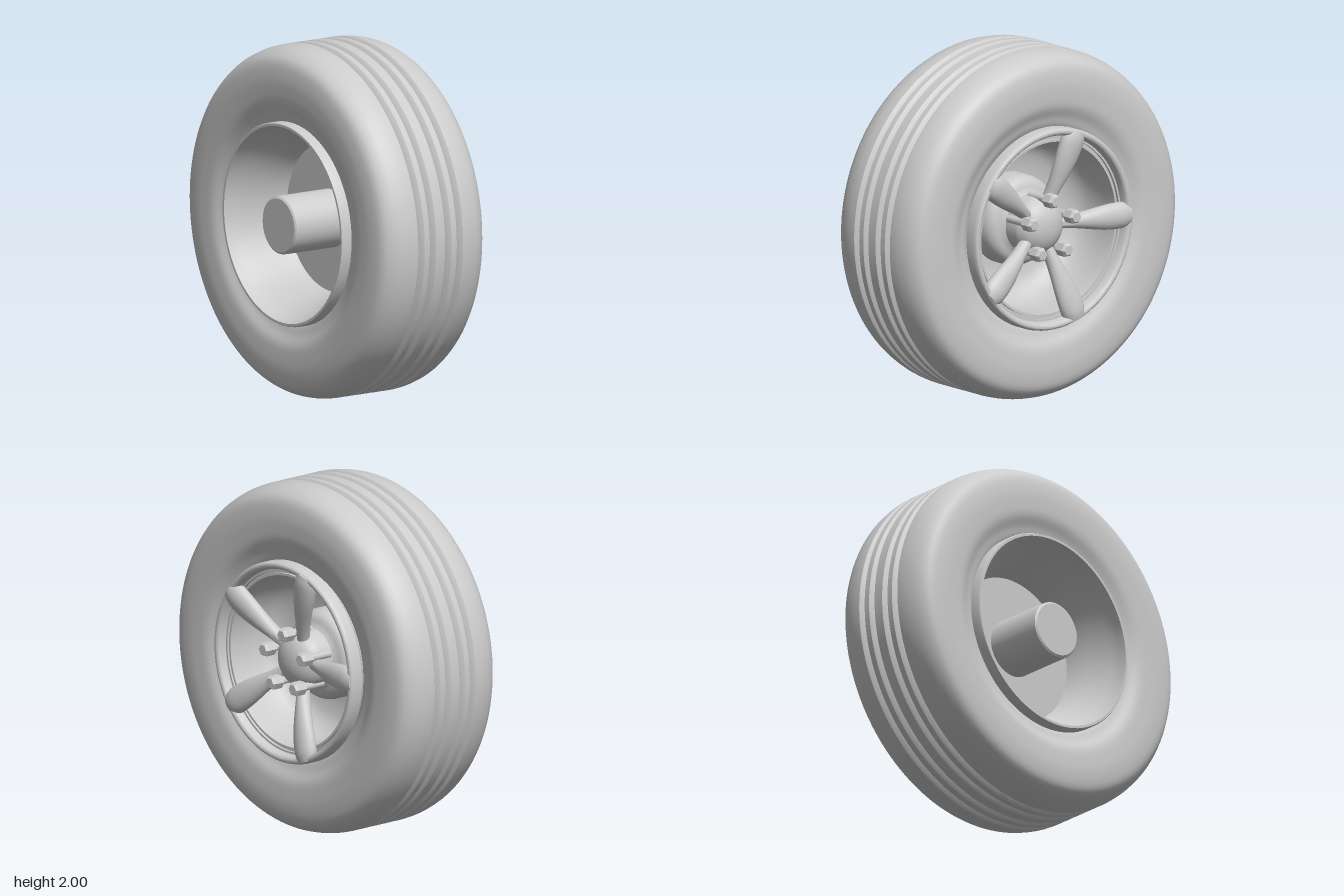
import * as THREE from 'three';
import { toCreasedNormals } from 'three/addons/utils/BufferGeometryUtils.js';

const grey = new THREE.MeshStandardMaterial({ color: 0xcccccc });

function mesh(name, geometry) {
  const m = new THREE.Mesh(geometry, grey);
  m.name = name;
  return m;
}

// Revolves [radius, x] pairs around the wheel axle (the x axis)
function revolve(name, profile, segments = 96, crease = 0.5) {
  const points = profile.map(([r, x]) => new THREE.Vector2(r, x));
  const geo = new THREE.LatheGeometry(points, segments).rotateZ(-Math.PI / 2);
  return mesh(name, toCreasedNormals(geo, crease));
}

// Smooth curve through a few [radius, x] pairs
function smooth(pairs, n) {
  const curve = new THREE.SplineCurve(pairs.map(([r, x]) => new THREE.Vector2(r, x)));
  return curve.getPoints(n).map(p => [p.x, p.y]);
}

// Tyre: sidewalls mirrored about the tread centre, with four V grooves
function tyreProfile() {
  const mid = -0.015;
  const wall = smooth([[0.55, 0.29], [0.585, 0.31], [0.63, 0.325], [0.69, 0.352], [0.76, 0.36],
    [0.84, 0.36], [0.925, 0.342], [0.972, 0.29], [0.994, 0.225], [1, 0.175]], 32);
  const profile = wall.map(([r, x]) => [r, mid - x]);
  for (const x of [-0.143, -0.064, 0.041, 0.121]) {
    profile.push([1, x - 0.022], [0.992, x - 0.014], [0.968, x], [0.992, x + 0.014], [1, x + 0.022]);
  }
  return profile.concat(wall.reverse().map(([r, x]) => [r, mid + x]));
}

// Rim: back of the disc, rear bowl, hidden barrel, front lip, front dish
function rimProfile() {
  return [
    [0, -0.05],
    ...smooth([[0.42, -0.05], [0.45, -0.12], [0.5, -0.22], [0.54, -0.31], [0.555, -0.37]], 14),
    [0.558, -0.385], [0.572, -0.385], [0.577, -0.375], [0.577, -0.3], [0.55, -0.26],
    [0.55, 0.28], [0.577, 0.31],
    ...smooth([[0.577, 0.365], [0.57, 0.385], [0.555, 0.39], [0.54, 0.382], [0.532, 0.36]], 12),
    [0.53, 0.335], [0.518, 0.335], [0.518, 0.32], [0.505, 0.32], [0.505, 0.335], [0.492, 0.335],
    ...smooth([[0.49, 0.3], [0.485, 0.18], [0.46, 0.08], [0.4, 0.015], [0.32, -0.012], [0.25, -0.02]], 18),
    [0, -0.02],
  ];
}

// Spoke along +y: round section that widens outward and rises towards the lip
function spokeGeometry() {
  const geo = new THREE.CylinderGeometry(1, 1, 1, 24, 16);
  const p = geo.attributes.position;
  for (let i = 0; i < p.count; i++) {
    const t = p.getY(i) + 0.5;
    const tip = 1 - 0.2 * THREE.MathUtils.smoothstep(t, 0.9, 1);
    const halfWidth = (0.034 + 0.042 * THREE.MathUtils.smoothstep(t, 0, 0.8)) * tip;
    const halfDepth = (0.04 + 0.014 * t) * tip;
    const centre = 0.265 + 0.09 * Math.sin(t * Math.PI / 2);
    p.setXYZ(i, centre + p.getX(i) * halfDepth, 0.13 + 0.435 * t, p.getZ(i) * halfWidth);
  }
  return toCreasedNormals(geo, 0.7);
}

// Hexagonal nut with a chamfered end
function nutGeometry() {
  const profile = [[0, 0.325], [0.042, 0.325], [0.042, 0.383], [0.03, 0.4], [0, 0.4]];
  const points = profile.map(([r, x]) => new THREE.Vector2(r, x));
  return toCreasedNormals(new THREE.LatheGeometry(points, 6).rotateZ(-Math.PI / 2), 0.3);
}

export function createModel() {
  const wheel = new THREE.Group();
  wheel.name = 'wheel';
  wheel.position.y = 1;

  wheel.add(revolve('tyre', tyreProfile(), 128, 0.45));
  wheel.add(revolve('rim', rimProfile(), 96, 0.55));

  // Axle stub at the back
  wheel.add(revolve('axle', [[0, -0.41], [0.152, -0.41], [0.163, -0.402], [0.165, -0.385], [0.165, -0.04]], 48));

  // Hub: rounded flange, neck and domed cap
  wheel.add(revolve('hub', [
    [0.26, -0.03],
    ...smooth([[0.26, 0.06], [0.25, 0.1], [0.225, 0.13], [0.185, 0.145]], 10),
    [0.165, 0.16], [0.165, 0.24],
    ...smooth([[0.162, 0.255], [0.14, 0.295], [0.1, 0.325], [0.05, 0.342], [0, 0.347]], 14),
  ], 64));

  // Five spokes, starting with the one pointing to -z
  const spokeGeo = spokeGeometry();
  const nutGeo = nutGeometry();
  const studGeo = new THREE.CylinderGeometry(0.022, 0.022, 0.16, 12).rotateZ(Math.PI / 2).translate(0.255, 0, 0);
  for (let i = 0; i < 5; i++) {
    const step = i * Math.PI * 2 / 5;
    const spoke = mesh('spoke', spokeGeo);
    spoke.rotation.x = step - Math.PI / 2;
    wheel.add(spoke);

    // Wheel nuts between the spoke roots, starting at the top
    const nut = new THREE.Group();
    nut.name = 'wheelNut';
    nut.add(mesh('nutHead', nutGeo), mesh('stud', studGeo));
    nut.position.set(0, Math.cos(step) * 0.162, Math.sin(step) * 0.162);
    wheel.add(nut);
  }

  const model = new THREE.Group();
  model.name = 'model';
  model.add(wheel);
  return model;
}
